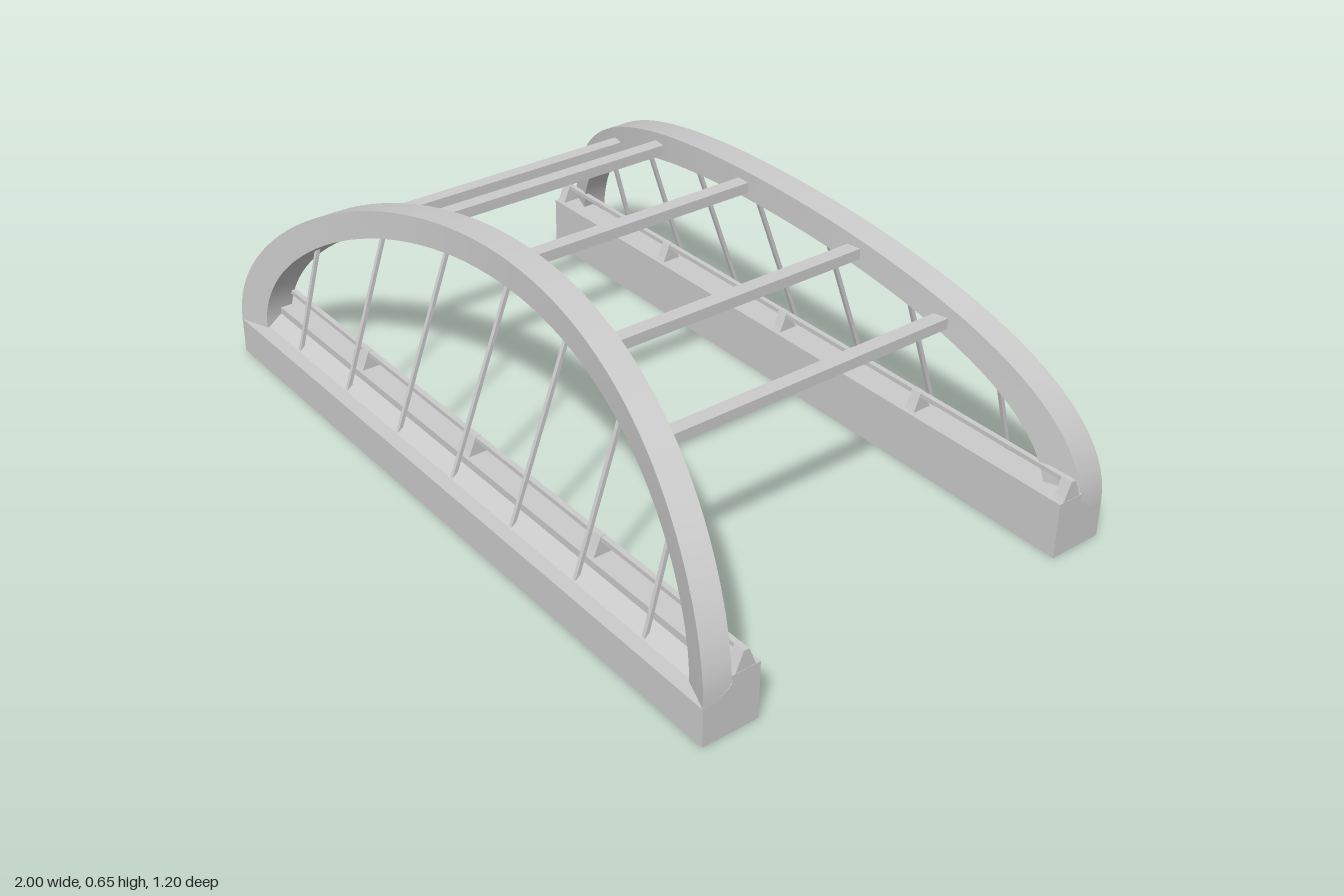
import * as THREE from 'three';
import { toCreasedNormals } from 'three/addons/utils/BufferGeometryUtils.js';

const material = new THREE.MeshStandardMaterial({ color: 0xcccccc });

function add(parent, geometry, name) {
  const mesh = new THREE.Mesh(geometry, material);
  mesh.name = name;
  parent.add(mesh);
  return mesh;
}

// Extrudes a (z, y) profile along x, centred on x
function extrudeAlongX(points, length, x = 0) {
  // Mirrored in z so that the rotation brings the profile back to +z
  const shape = new THREE.Shape(points.map(([z, y]) => new THREE.Vector2(-z, y)));
  const g = new THREE.ExtrudeGeometry(shape, { depth: length, bevelEnabled: false });
  g.rotateY(Math.PI / 2);
  g.translate(x - length / 2, 0, 0);
  return g;
}

// The arch leans inward: inner face depth as a function of x
const archZ = (x) => 0.33 + 0.195 * x * x;
const archWidth = 0.075;
const innerA = 0.915, innerB = 0.483;
const innerY = (x) => 0.1 + innerB * Math.sqrt(1 - (x / innerA) ** 2);

// Rectangular section swept along the half ellipse
function archGeometry(steps = 64) {
  const pos = [], index = [];
  for (let i = 0; i <= steps; i++) {
    const a = (Math.PI * i) / steps;
    const c = Math.cos(a), s = Math.sin(a);
    const xo = c, yo = 0.1 + 0.555 * s, xi = innerA * c, yi = 0.1 + innerB * s;
    pos.push(xo, yo, archZ(xo), xo, yo, archZ(xo) + archWidth,
      xi, yi, archZ(xi) + archWidth, xi, yi, archZ(xi));
  }
  for (let i = 0; i < steps; i++) {
    for (let k = 0; k < 4; k++) {
      const a = i * 4 + k, b = i * 4 + ((k + 1) % 4);
      index.push(a, b + 4, b, a, a + 4, b + 4);
    }
  }
  const e = steps * 4;
  index.push(0, 1, 2, 0, 2, 3, e, e + 2, e + 1, e, e + 3, e + 2);
  const g = new THREE.BufferGeometry();
  g.setAttribute('position', new THREE.Float32BufferAttribute(pos, 3));
  g.setIndex(index);
  return toCreasedNormals(g, 0.5);
}

// Thin rod between two points
function rod(parent, from, to, thickness, name) {
  const dir = to.clone().sub(from);
  const mesh = add(parent, new THREE.BoxGeometry(thickness, dir.length(), thickness), name);
  mesh.position.copy(from).add(to).multiplyScalar(0.5);
  mesh.quaternion.setFromUnitVectors(new THREE.Vector3(0, 1, 0), dir.normalize());
}

function createSide(name) {
  const side = new THREE.Group();
  side.name = name;

  // Deck-edge girder with a stepped top
  add(side, extrudeAlongX([[0.45, 0], [0.6, 0], [0.6, 0.1], [0.562, 0.1],
    [0.525, 0.13], [0.525, 0.15], [0.45, 0.15]], 2), 'girder');

  add(side, archGeometry(), 'arch');

  // Hangers from the arch underside to the girder ledge
  for (let i = -3; i <= 3; i++) {
    const x = i * 0.25;
    rod(side, new THREE.Vector3(x, 0.1, 0.555),
      new THREE.Vector3(x, innerY(x) + 0.01, archZ(x) + archWidth / 2), 0.01, 'hanger');
  }

  // Handrail on tapered posts
  for (const x of [-0.984, -0.5, 0, 0.5, 0.984]) {
    add(side, extrudeAlongX([[0.46, 0.148], [0.518, 0.148], [0.512, 0.16],
      [0.496, 0.2], [0.482, 0.2], [0.466, 0.16]], 0.03, x), 'railPost');
  }
  const rail = add(side, new THREE.BoxGeometry(2, 0.012, 0.014), 'handrail');
  rail.position.set(0, 0.193, 0.489);
  return side;
}

export function createModel() {
  const model = new THREE.Group();
  model.name = 'archBridge';

  const front = createSide('frontSide');
  const back = createSide('backSide');
  back.rotation.y = Math.PI;
  model.add(front, back);

  // Cross struts tying the two arches together
  for (const [x, y] of [[0, 0.614], [0.375, 0.574], [-0.375, 0.574], [0.625, 0.48], [-0.625, 0.48]]) {
    const length = 2 * (archZ(x) + 0.02);
    const strut = add(model, new THREE.BoxGeometry(0.038, 0.028, length), 'crossStrut');
    strut.position.set(x, y, 0);
  }
  return model;
}
